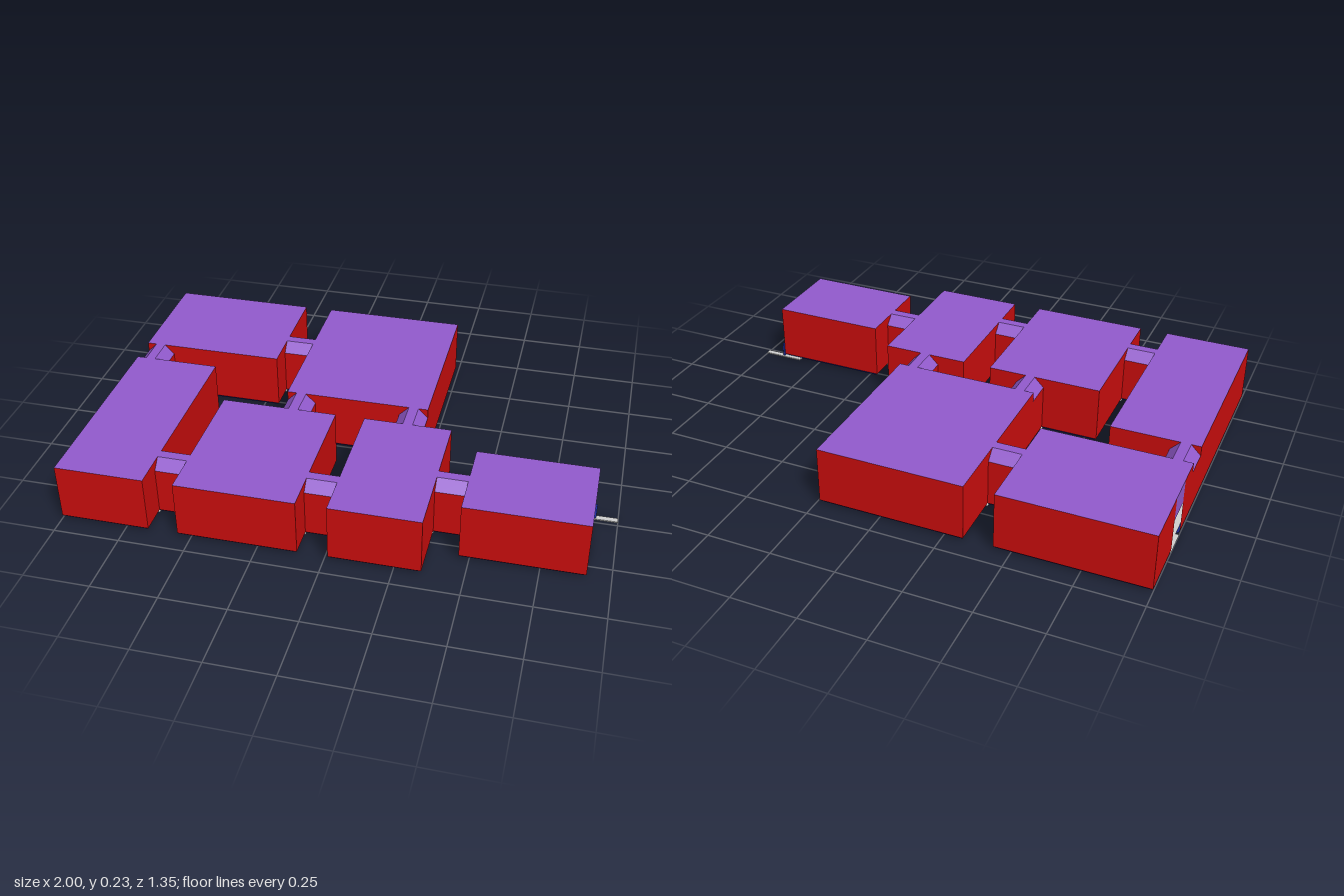
import * as THREE from 'three';

const CELL = 0.1125;      // floor plan module
const H = 0.23;           // room height
const EAVE = 0.192;       // corridor wall height
const DOOR = 0.137;       // door height
const SKIRT_Y = 0.013, SKIRT_IN = 0.013;
const DIRS = [[1, 0], [0, 1], [-1, 0], [0, -1]];

// column, row, columns, rows
const ROOMS = [[0, 0, 5, 4], [6, 0, 5, 6], [0, 5, 3, 7], [4, 7, 4, 5], [9, 7, 3, 5], [13, 8, 4, 3]];
// column, row, side the corridor's walls stand on (0: x sides, 1: z sides)
const CORRIDORS = [[5, 2, 1], [0, 4, 0], [6, 6, 0], [10, 6, 0], [3, 10, 1], [8, 10, 1], [12, 9, 1]];
// column, row, side, part above the opening
const DOORS = [[16, 9, 0, 'walls'], [0, 2, 2, 'roof']];

export function createModel() {
  const model = new THREE.Group();
  model.name = 'floorPlan';
  const mat = (name, color) => {
    const m = new THREE.MeshStandardMaterial({ color, side: THREE.DoubleSide });
    m.name = name;
    return m;
  };
  const red = mat('wallRed', 0xcc0d0d);
  const purple = mat('roofPurple', 0x925acd);
  const blue = mat('skirtingBlue', 0x2436b8);
  const grey = mat('floorGrey', 0xd0d0d0);
  const materials = { walls: red, roof: purple, skirting: blue, floor: grey };

  const filled = new Set();
  const key = (c, r) => c + ',' + r;
  for (const [c, r, w, d] of ROOMS)
    for (let i = 0; i < w; i++) for (let j = 0; j < d; j++) filled.add(key(c + i, r + j));
  for (const [c, r] of CORRIDORS) filled.add(key(c, r));

  const doorAt = (c, r, k) => DOORS.find(d => d[0] === c && d[1] === r && d[2] === k);
  const closed = (c, r, k) => !filled.has(key(c + DIRS[k][0], r + DIRS[k][1]));
  const insetAt = (c, r, k) => (closed(c, r, k) && !doorAt(c, r, k) ? SKIRT_IN : 0);

  // point in a cell: n outward to side k, t along that side
  const point = (c, r, k, n, t, y) => {
    const a = DIRS[k], b = DIRS[(k + 1) % 4];
    return [-1 + (c + 0.5) * CELL + a[0] * n + b[0] * t, y, -0.675 + (r + 0.5) * CELL + a[1] * n + b[1] * t];
  };
  const quad = (list, a, b, c, d) => list.push(...a, ...b, ...c, ...a, ...c, ...d);

  const half = CELL / 2, third = CELL / 6;

  // floor, skirting and walls of one cell
  function addCell(parts, c, r, wallTop) {
    const e = DIRS.map((_, k) => half - insetAt(c, r, k));
    quad(parts.floor, point(c, r, 0, -e[2], -e[3], 0), point(c, r, 0, -e[2], e[1], 0),
      point(c, r, 0, e[0], e[1], 0), point(c, r, 0, e[0], -e[3], 0));
    for (let k = 0; k < 4; k++) {
      if (!closed(c, r, k)) continue;
      const door = doorAt(c, r, k);
      const p = (n, t, y) => point(c, r, k, n, t, y);
      const base = door ? DOOR : SKIRT_Y;
      quad(parts[door ? door[3] : 'walls'], p(half, half, base), p(half, -half, base),
        p(half, -half, wallTop), p(half, half, wallTop));
      if (!door) quad(parts.skirting, p(e[k], e[(k + 1) % 4], 0), p(e[k], -e[(k + 3) % 4], 0),
        p(half, -half, SKIRT_Y), p(half, half, SKIRT_Y));
    }
  }

  function addSection(name, build) {
    const parts = { floor: [], skirting: [], walls: [], roof: [] };
    build(parts);
    const group = new THREE.Group();
    group.name = name;
    for (const part in parts) {
      const geo = new THREE.BufferGeometry();
      geo.setAttribute('position', new THREE.Float32BufferAttribute(parts[part], 3));
      geo.computeVertexNormals();
      const mesh = new THREE.Mesh(geo, materials[part]);
      mesh.name = part;
      group.add(mesh);
    }
    model.add(group);
  }

  // rooms with flat roofs
  ROOMS.forEach(([c, r, w, d], n) => addSection('room' + (n + 1), parts => {
    for (let i = 0; i < w; i++) for (let j = 0; j < d; j++) addCell(parts, c + i, r + j, H);
    const x0 = -1 + c * CELL, x1 = x0 + w * CELL, z0 = -0.675 + r * CELL, z1 = z0 + d * CELL;
    quad(parts.roof, [x0, H, z0], [x0, H, z1], [x1, H, z1], [x1, H, z0]);
  }));

  // corridors with bevelled roofs
  CORRIDORS.forEach(([c, r, side], n) => addSection('corridor' + (n + 1), parts => {
    addCell(parts, c, r, EAVE);
    for (const k of [side, side + 2]) {
      const p = (a, t, y) => point(c, r, k, a, t, y);
      quad(parts.roof, p(half, half, EAVE), p(half, -half, EAVE), p(third, -half, H), p(third, half, H));
      // room wall left showing beside the bevel
      for (const t of [-half, half])
        parts.walls.push(...p(half, t, EAVE), ...p(half, t, H), ...p(third, t, H));
    }
    const q = (a, t) => point(c, r, side, a, t, H);
    quad(parts.roof, q(third, half), q(third, -half), q(-third, -half), q(-third, half));
  }));

  // small marker at the corner of the end room
  const marker = new THREE.Group();
  marker.name = 'cornerMarker';
  const addBox = (name, size, pos, material) => {
    const mesh = new THREE.Mesh(new THREE.BoxGeometry(...size), material);
    mesh.name = name;
    mesh.position.set(...pos);
    marker.add(mesh);
  };
  addBox('markerBar', [0.165, 0.005, 0.022], [0.9175, 0.0035, 0.225], grey);
  addBox('markerPost', [0.007, 0.06, 0.01], [0.9165, 0.032, 0.225], blue);
  model.add(marker);

  return model;
}
